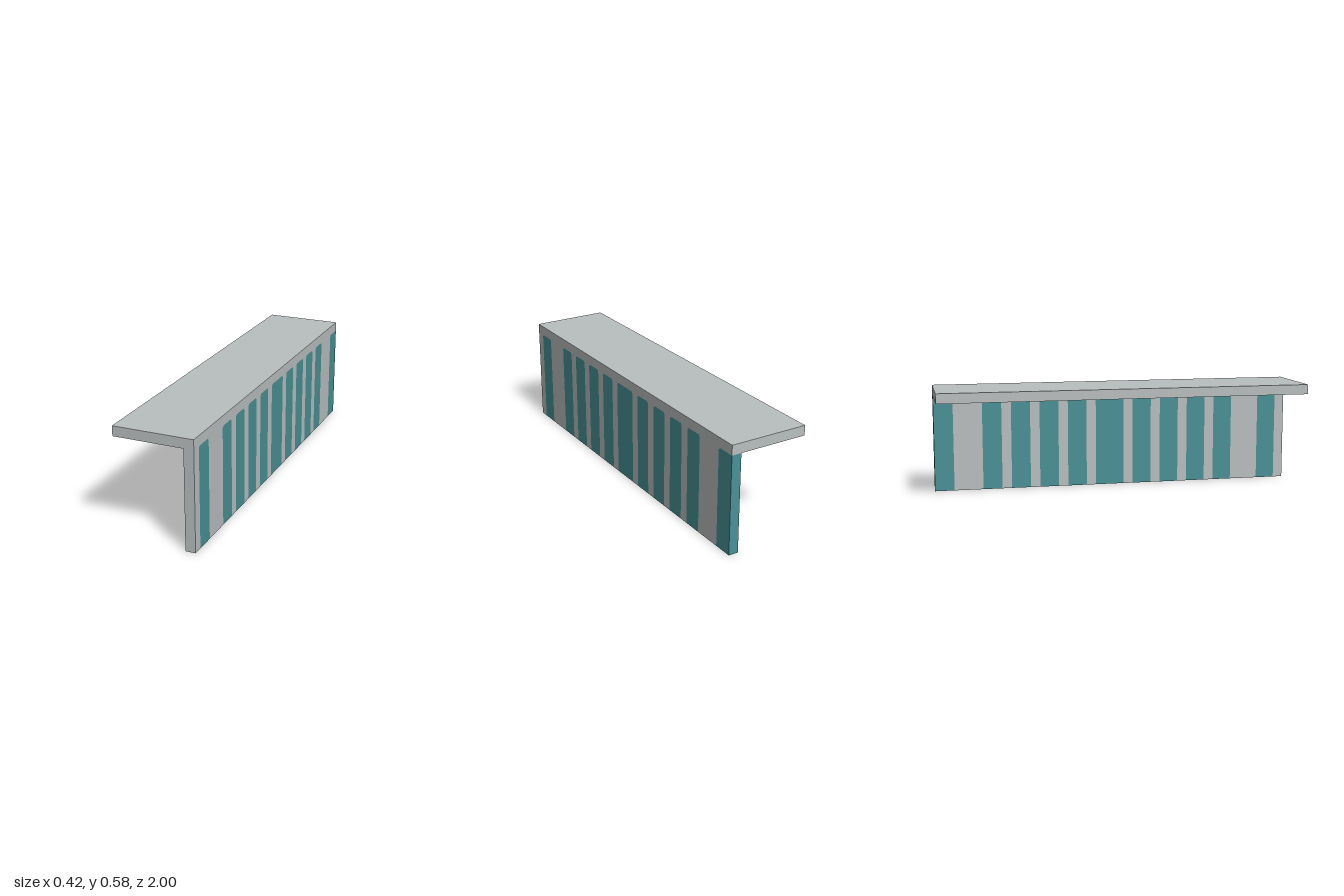
import * as THREE from 'three';

const U = 2 / 38;              // one grid cell; the model is 8 x 11 x 38 cells
const C = 0.01;                // clipped corner at the top of each stripe
const TOP = 10 * U;            // stripe height

// stripes as [first, last] cell edges, counted from the front end
const STRIPES = [[1, 3], [6, 8], [9, 11], [12, 14], [15, 17], [18, 21],
  [22, 24], [25, 27], [28, 30], [31, 33], [36, 38]];

export function createModel() {
  const group = new THREE.Group();
  const grey = new THREE.MeshStandardMaterial({ color: 0xb9bebe });
  grey.name = 'pale grey';
  const teal = new THREE.MeshStandardMaterial({ color: 0x489195 });
  teal.name = 'teal';

  const add = (name, geometry, material) => {
    const mesh = new THREE.Mesh(geometry, material);
    mesh.name = name;
    group.add(mesh);
  };

  // extrude a (z, y) outline through the one-cell thickness of the side panel
  const panelPiece = (points) => {
    const geo = new THREE.ExtrudeGeometry(new THREE.Shape(points), { depth: U, bevelEnabled: false });
    return geo.rotateY(-Math.PI / 2).translate(4 * U, 0, 0);
  };
  const p = (z, y) => new THREE.Vector2(z, y);

  // stripe outline, from its rear foot over the top to its front foot
  const stripeOutline = ([a, b]) => {
    const front = 1 - a * U, rear = 1 - b * U;
    const rearTop = b === 38 ? [p(rear, TOP)] : [p(rear, TOP - C), p(rear + C, TOP)];
    return [p(rear, 0), ...rearTop, p(front - C, TOP), p(front, TOP - C), p(front, 0)];
  };

  // side panel: a comb whose gaps are filled by the stripes
  const comb = [p(1, 0), p(1, 11 * U), p(-1, 11 * U)];
  for (const s of [...STRIPES].reverse()) {
    const outline = stripeOutline(s);
    comb.push(...(s[1] === 38 ? outline.slice(1) : outline));
  }
  add('sidePanel', panelPiece(comb), grey);

  // teal stripes, running right through the panel
  STRIPES.forEach((s, i) => add('stripe' + (i + 1), panelPiece(stripeOutline(s)), teal));

  // flat top slab
  add('topSlab', new THREE.BoxGeometry(7 * U, U, 2).translate(-0.5 * U, 10.5 * U, 0), grey);

  return group;
}
